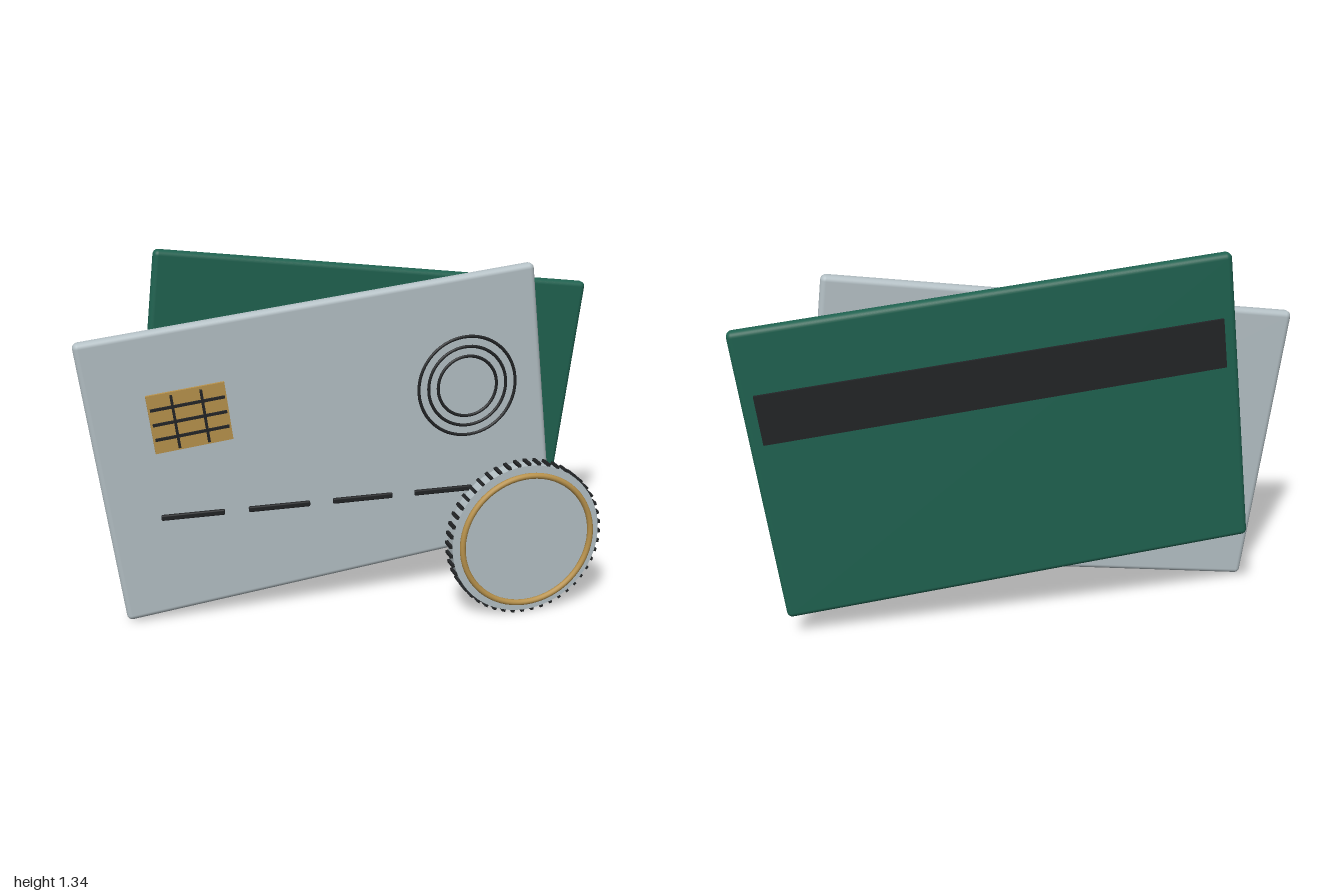
import * as THREE from 'three';
import { RoundedBoxGeometry } from 'three/addons/geometries/RoundedBoxGeometry.js';

const material = (color) => new THREE.MeshStandardMaterial({ color });
const silver = material(0xb4c0c5);
const green = material(0x1f6250);
const gold = material(0xb8924c);
const dark = material(0x222426);

function add(parent, name, geometry, mat, x = 0, y = 0, z = 0) {
  const mesh = new THREE.Mesh(geometry, mat);
  mesh.name = name;
  mesh.position.set(x, y, z);
  parent.add(mesh);
  return mesh;
}

function addGroup(parent, name, x, y, z, tilt = 0) {
  const group = new THREE.Group();
  group.name = name;
  group.position.set(x, y, z);
  group.rotation.z = tilt;
  parent.add(group);
  return group;
}

const box = (w, h, d) => new THREE.BoxGeometry(w, h, d);
const cardBody = () => new RoundedBoxGeometry(1.694, 1.067, 0.05, 4, 0.02);

export function createModel() {
  const model = new THREE.Group();
  model.name = 'paymentCardsAndCoin';
  const tilt = 0.12;

  // Rear card with its magnetic stripe on the back
  const rearCard = addGroup(model, 'rearCard', 0.09, 0.715, -0.25, -tilt);
  add(rearCard, 'rearCardBody', cardBody(), green);
  add(rearCard, 'magneticStripe', box(1.6, 0.175, 0.016), dark, 0, 0.224, -0.029);

  // Front card
  const frontCard = addGroup(model, 'frontCard', -0.095, 0.64, -0.046, tilt);
  add(frontCard, 'frontCardBody', cardBody(), silver);

  // Contact chip with its grid of lines
  const chip = addGroup(model, 'chip', -0.613, 0.784, 0, tilt);
  add(chip, 'chipPlate', box(0.28, 0.215, 0.012), gold, 0, 0, -0.008);
  for (const y of [-0.055, 0, 0.055]) {
    add(chip, 'chipRow', box(0.265, 0.009, 0.01), dark, 0, y, 0.003);
  }
  for (const x of [-0.053, 0.053]) {
    add(chip, 'chipColumn', box(0.009, 0.195, 0.012), dark, x, 0, 0.006);
  }

  // Concentric contactless rings
  for (const radius of [0.115, 0.152, 0.19]) {
    add(model, 'contactlessRing', new THREE.TorusGeometry(radius, 0.006, 8, 64), dark, 0.422, 0.826, 0.005);
  }

  // Row of number dashes
  for (let i = 0; i < 4; i++) {
    add(model, 'numberDash', new RoundedBoxGeometry(0.23, 0.021, 0.014, 2, 0.005), dark, -0.618 + i * 0.318, 0.42, 0.006);
  }

  // Coin with a raised gold rim and a reeded edge
  const coin = addGroup(model, 'coin', 0.572, 0.3, 0.242);
  const disc = add(coin, 'coinDisc', new THREE.CylinderGeometry(0.288, 0.288, 0.054, 64), silver);
  disc.rotation.x = Math.PI / 2;
  add(coin, 'coinRim', new THREE.TorusGeometry(0.252, 0.011, 12, 64), gold, 0, 0, 0.036);
  const ridges = 48;
  for (let i = 0; i < ridges; i++) {
    const angle = (i / ridges) * Math.PI * 2;
    const ridge = add(coin, 'edgeRidge', box(0.018, 0.012, 0.053), dark,
      0.289 * Math.cos(angle), 0.289 * Math.sin(angle), 0);
    ridge.rotation.z = angle;
  }

  return model;
}
